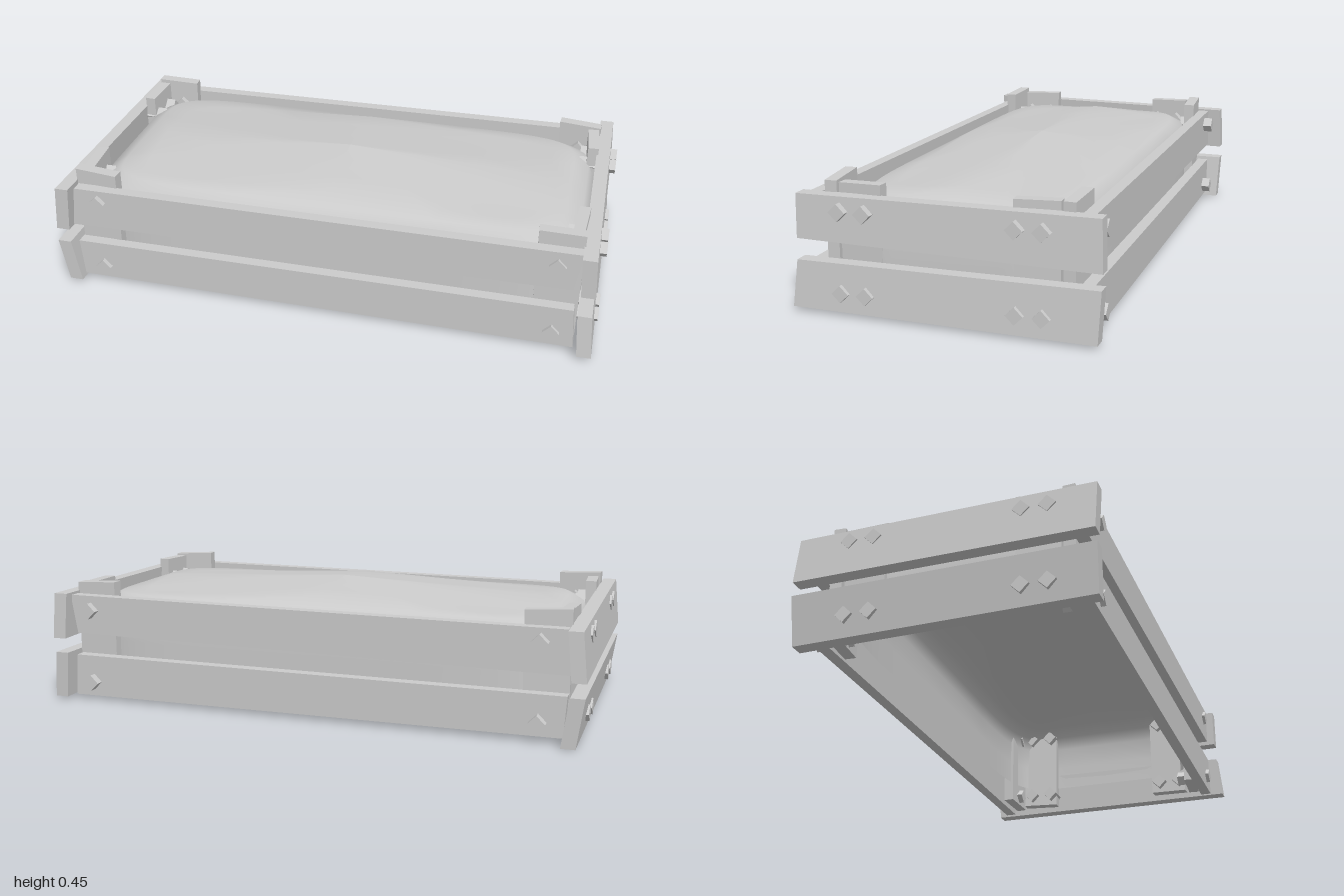
import * as THREE from 'three';

const wood = new THREE.MeshStandardMaterial({ color: 0xcccccc, flatShading: true });
const soil = new THREE.MeshStandardMaterial({ color: 0xcccccc, side: THREE.DoubleSide });

// Slightly crooked board: four [u, y] corners, extruded by its thickness and
// sheared outwards with height (lean).
function board(name, corners, thickness, lean = 0) {
  const shape = new THREE.Shape(corners.map(([u, y]) => new THREE.Vector2(u, y)));
  const geo = new THREE.ExtrudeGeometry(shape, { depth: thickness, bevelEnabled: false });
  const p = geo.attributes.position;
  const midY = corners.reduce((s, c) => s + c[1], 0) / 4;
  for (let i = 0; i < p.count; i++) {
    p.setZ(i, p.getZ(i) - thickness / 2 + lean * (p.getY(i) - midY));
  }
  geo.computeVertexNormals();
  const mesh = new THREE.Mesh(geo, wood);
  mesh.name = name;
  return mesh;
}

// Mound of earth: rounded-rectangle rings from the skirt up to the crown.
function createSoil() {
  const N = 96;
  const rings = [
    // half width, half depth, height, squareness
    [0.925, 0.425, 0.12, 7], [0.925, 0.425, 0.22, 7], [0.92, 0.425, 0.31, 7],
    [0.895, 0.41, 0.36, 7], [0.84, 0.37, 0.39, 7],
    [0.75, 0.31, null, 7], [0.5, 0.21, null, 6], [0.25, 0.1, null, 4], [0, 0, null, 2],
  ];
  const pos = [], index = [];
  rings.forEach(([a, b, h, e], r) => {
    for (let i = 0; i < N; i++) {
      const t = (i / N) * Math.PI * 2, c = Math.cos(t), s = Math.sin(t);
      const x = a * Math.sign(c) * Math.abs(c) ** (2 / e);
      const z = b * Math.sign(s) * Math.abs(s) ** (2 / e);
      const y = h ?? 0.45 - 0.035 * Math.abs(x) / 0.75 - 0.03 * Math.abs(z) / 0.31;
      pos.push(x, y, z);
      if (r === rings.length - 1) continue;
      const j = (i + 1) % N, o = r * N;
      index.push(o + i, o + N + i, o + j);
      if (r < rings.length - 2) index.push(o + j, o + N + i, o + N + j);
    }
  });
  const geo = new THREE.BufferGeometry();
  geo.setAttribute('position', new THREE.Float32BufferAttribute(pos, 3));
  geo.setIndex(index);
  geo.computeVertexNormals();
  const mesh = new THREE.Mesh(geo, soil);
  mesh.name = 'soil';
  return mesh;
}

export function createModel() {
  const model = new THREE.Group();

  // Long planks, front and back
  const upperLong = [[-0.95, 0.235], [0.9, 0.255], [0.925, 0.4], [-0.93, 0.39]];
  const lowerLong = [[-0.925, 0.02], [0.92, 0.015], [0.91, 0.17], [-0.935, 0.165]];
  for (const s of [1, -1]) {
    const side = s > 0 ? 'front' : 'back';
    [[upperLong, 'UpperPlank'], [lowerLong, 'LowerPlank']].forEach(([c, n], k) => {
      const m = board(side + n, c, 0.042);
      m.position.z = s * 0.458;
      m.rotation.y = -s * (k ? 0.002 : 0.005);
      model.add(m);
    });
  }

  // Short planks, left (+x) and right (-x); u runs towards -z
  const ends = [
    ['leftUpperPlank', [[-0.51, 0.25], [0.53, 0.24], [0.523, 0.41], [-0.512, 0.4]], 0.948, -0.06],
    ['leftLowerPlank', [[-0.53, 0.015], [0.518, 0.012], [0.525, 0.185], [-0.515, 0.175]], 0.955, -0.08],
    ['rightUpperPlank', [[-0.51, 0.23], [0.53, 0.225], [0.525, 0.395], [-0.515, 0.405]], -0.968, 0.1],
    ['rightLowerPlank', [[-0.51, 0.01], [0.525, 0], [0.53, 0.175], [-0.515, 0.18]], -0.962, -0.15],
  ];
  for (const [name, corners, x, lean] of ends) {
    const m = board(name, corners, 0.05, lean);
    m.rotation.y = Math.PI / 2;
    m.position.x = x;
    model.add(m);
  }

  // Corner brackets (two boards in an L) and square bolts
  const boltGeo = new THREE.BoxGeometry(0.042, 0.042, 0.14);
  const addBolt = (x, y, z, alongX) => {
    const holder = new THREE.Group();
    holder.name = 'bolt';
    const b = new THREE.Mesh(boltGeo, wood);
    b.name = 'boltPin';
    b.rotation.z = Math.PI / 4;
    holder.add(b);
    holder.position.set(x, y, z);
    if (alongX) holder.rotation.y = Math.PI / 2;
    model.add(holder);
  };
  for (const sx of [1, -1]) {
    for (const sz of [1, -1]) {
      const xIn = sx > 0 ? 0.905 : 0.918;

      const longPost = board('cornerPostLong',
        [[-0.078, 0.035], [0.076, 0.03], [0.08, 0.44], [-0.08, 0.448]], 0.042);
      longPost.position.set(sx * (xIn - 0.062), 0, sz * 0.412);
      longPost.rotation.y = sx * sz * 0.06;
      model.add(longPost);

      const endPost = board('cornerPostEnd',
        [[-0.075, 0.03], [0.075, 0.035], [0.075, 0.438], [-0.078, 0.434]], 0.04);
      endPost.position.set(sx * (xIn - 0.005), 0, sz * 0.302);
      endPost.rotation.y = Math.PI / 2 - sx * sz * 0.06;
      model.add(endPost);

      for (const y of [0.345, 0.07]) {
        addBolt(sx * 0.84, y, sz * (sz > 0 ? 0.425 : 0.44), false);
        for (const z of [0.345, 0.257]) addBolt(sx * 0.925, y + 0.008, sz * z + 0.007, true);
      }
    }
  }

  model.add(createSoil());
  return model;
}
